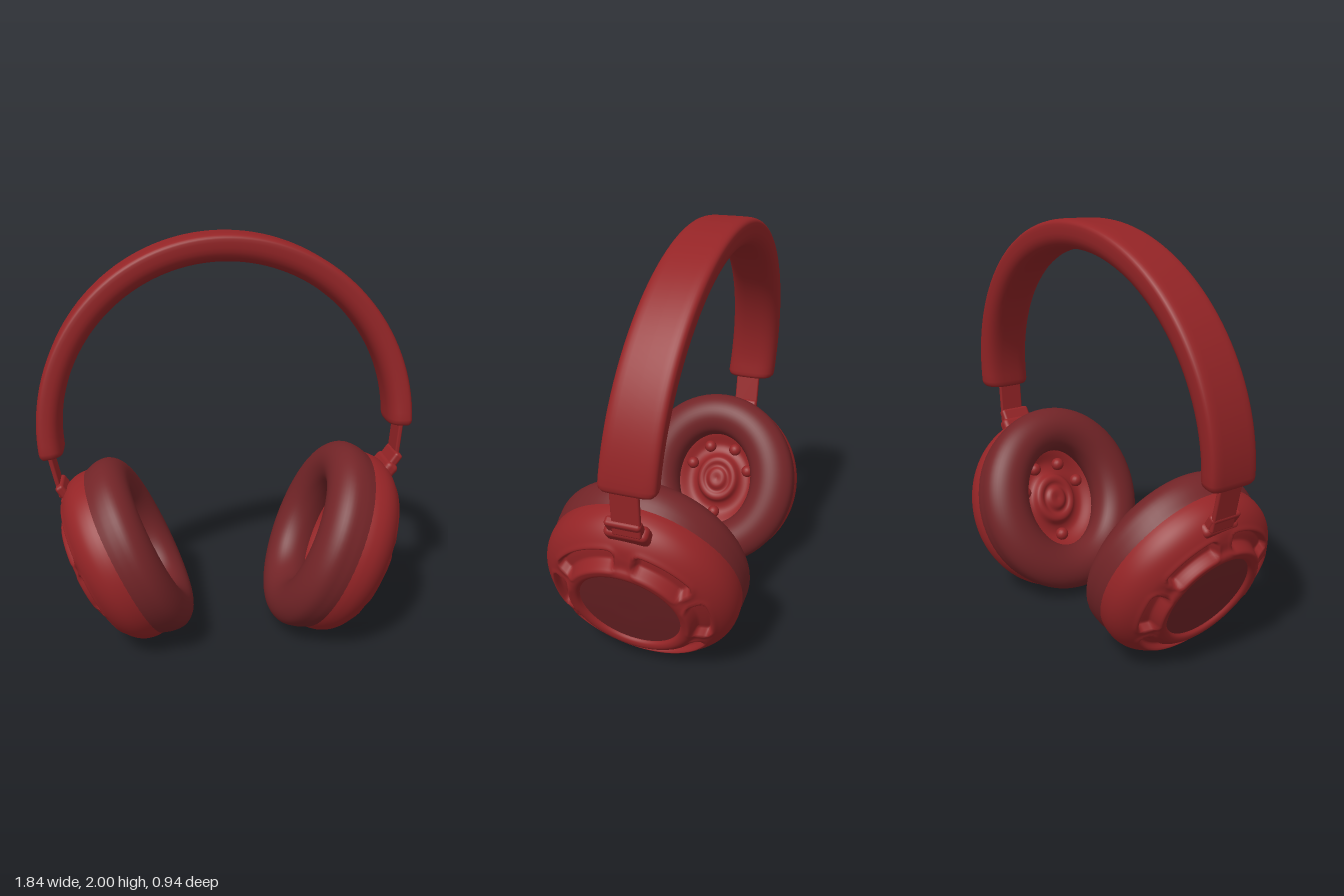
import * as THREE from 'three';
import { mergeVertices } from 'three/addons/utils/BufferGeometryUtils.js';
import { RoundedBoxGeometry } from 'three/addons/geometries/RoundedBoxGeometry.js';

const material = (name, color) => Object.assign(new THREE.MeshStandardMaterial({ color }), { name });
const rad = THREE.MathUtils.degToRad;

function addMesh(parent, name, geometry, mat) {
  const mesh = new THREE.Mesh(geometry, mat);
  mesh.name = name;
  parent.add(mesh);
  return mesh;
}

// Smooth seamless lathe; reshape(v) may move each vertex
function smoothLathe(points, rows, segments, reshape) {
  const curve = new THREE.SplineCurve(points.map(([r, y]) => new THREE.Vector2(r, y)));
  const profile = curve.getSpacedPoints(rows);
  profile.forEach((p) => { p.x = Math.max(p.x, 0); });
  let g = new THREE.LatheGeometry(profile, segments);
  g.deleteAttribute('uv');
  g.deleteAttribute('normal');
  const pos = g.attributes.position;
  const v = new THREE.Vector3();
  for (let i = 0; i < pos.count; i++) {
    v.fromBufferAttribute(pos, i);
    reshape(v);
    pos.setXYZ(i, v.x, v.y, v.z);
  }
  g = mergeVertices(g, 1e-5);
  g.computeVertexNormals();
  return g;
}

// Band swept over the head: flat outside, padded inside, leaning back at the top
function headbandGeometry() {
  const start = rad(-1), end = rad(188), steps = 72, cols = 32;
  const rows = [];
  const caps = [[0, 0], [0, 0.7], [0.006, 0.88], [0.02, 0.97], [0.04, 1]];
  caps.forEach(([d, k]) => rows.push([start + d, k]));
  for (let i = 1; i < steps; i++) rows.push([start + 0.04 + (end - start - 0.08) * i / steps, 1]);
  caps.slice().reverse().forEach(([d, k]) => rows.push([end - d, k]));
  const pos = [], index = [];
  rows.forEach(([t, k], i) => {
    const y0 = 1.08 + 0.9 * Math.sin(t);
    const zc = -0.165 + (2 - y0) * 0.088;
    const half = 0.12 + (2 - y0) * 0.009;
    const inner = 0.078 + 0.018 * Math.max(0, Math.sin(t));
    for (let j = 0; j < cols; j++) {
      const a = j / cols * Math.PI * 2, c = Math.cos(a), s = Math.sin(a);
      const w = Math.sign(c) * Math.abs(c) ** (s > 0 ? 0.35 : 0.6) * half;
      const h = s > 0 ? 0.04 * s ** 0.6 : -inner * Math.abs(s) ** 0.8;
      const r = 0.855 + (0.025 + h) * k;
      pos.push(r * Math.cos(t), 1.08 + r * Math.sin(t), zc + w * k);
      if (i < rows.length - 1) {
        const p = i * cols + j, q = i * cols + (j + 1) % cols;
        index.push(p, q, p + cols, q, q + cols, p + cols);
      }
    }
  });
  const g = new THREE.BufferGeometry();
  g.setAttribute('position', new THREE.Float32BufferAttribute(pos, 3));
  g.setIndex(index);
  g.computeVertexNormals();
  return g;
}

// Recessed slots around the shell: [from angle, to angle, inner radius, outer radius]
const SLOTS = [[2, 58, 0.305, 0.385], [-58, -13, 0.305, 0.385], [70, 108, 0.3, 0.385],
  [-108, -70, 0.3, 0.385], [120, 240, 0.325, 0.385]];

function slotOffset(r, angle) {
  let offset = 0;
  for (const [a0, a1, r0, r1] of SLOTS) {
    const mid = rad((a0 + a1) / 2), corner = 0.028;
    const da = Math.atan2(Math.sin(angle - mid), Math.cos(angle - mid));
    const qx = Math.abs(da) * 0.345 - rad(a1 - a0) / 2 * 0.345 + corner;
    const qy = Math.abs(r - (r0 + r1) / 2) - (r1 - r0) / 2 + corner;
    const d = Math.hypot(Math.max(qx, 0), Math.max(qy, 0)) + Math.min(Math.max(qx, qy), 0) - corner;
    offset -= 0.035 * (1 - THREE.MathUtils.smoothstep(d, -0.016, 0.004));
    offset += 0.005 * Math.exp(-(((d - 0.01) / 0.01) ** 2));
  }
  return offset;
}

// Ear cup: local +y points away from the head, local -x * side points up
function earCup(side, mats) {
  const cup = new THREE.Group();
  cup.name = side > 0 ? 'leftEarCup' : 'rightEarCup';

  addMesh(cup, 'shell', smoothLathe([[0.47, -0.02], [0.475, 0.03], [0.468, 0.08], [0.445, 0.125],
    [0.405, 0.165], [0.36, 0.188], [0.318, 0.203], [0.296, 0.222], [0.275, 0.228], [0.255, 0.222],
    [0.245, 0.208], [0.235, 0.2]], 64, 180, (v) => {
    v.y += slotOffset(Math.hypot(v.x, v.z), Math.atan2(v.z, -side * v.x));
    v.z *= 0.978;
  }), mats.red);

  addMesh(cup, 'outerPlate', smoothLathe([[0.25, 0.208], [0.12, 0.212], [0, 0.212]], 8, 64, () => {}), mats.dark);

  // Cushion is slightly taller than wide, with an oval opening
  addMesh(cup, 'cushion', smoothLathe([[0.3, 0.03], [0.27, -0.03], [0.262, -0.09], [0.285, -0.15],
    [0.34, -0.188], [0.4, -0.193], [0.455, -0.168], [0.49, -0.12], [0.493, -0.06], [0.475, 0]],
  36, 72, (v) => {
    const r = Math.hypot(v.x, v.z);
    v.z *= THREE.MathUtils.mapLinear(r, 0.262, 0.493, 0.84, 0.945);
    if (v.y > -0.06 && r > 0.4) v.z *= THREE.MathUtils.mapLinear(v.y, -0.06, 0, 1, 1.035);
  }), mats.dark);

  // Inner bowl with a raised round driver
  addMesh(cup, 'innerBowl', smoothLathe([[0, -0.035], [0.045, -0.04], [0.075, -0.02], [0.1, -0.03],
    [0.125, -0.025], [0.15, 0.01], [0.2, 0.02], [0.26, -0.01], [0.31, -0.03]],
  36, 48, (v) => { v.z *= 0.9; }), mats.red);
  for (const a of [-70, -25, 25, 70, 180]) {
    const bump = addMesh(cup, 'innerBump', new THREE.SphereGeometry(0.035, 16, 10), mats.red);
    bump.position.set(-side * 0.2 * Math.cos(rad(a)), 0.005, 0.18 * Math.sin(rad(a)));
  }
  return cup;
}

// Rounded bar between two points in the front plane
function bar(parent, name, [x0, y0], [x1, y1], z, width, thick, mat) {
  const length = Math.hypot(x1 - x0, y1 - y0);
  const g = new RoundedBoxGeometry(thick, length, width, 3, thick * 0.35);
  const mesh = addMesh(parent, name, g, mat);
  mesh.position.set((x0 + x1) / 2, (y0 + y1) / 2, z);
  mesh.rotation.z = -Math.atan2(x1 - x0, y1 - y0);
}

export function createModel() {
  const model = new THREE.Group();
  model.name = 'headphones';
  const mats = { red: material('deep red', 0x942426), dark: material('dark red', 0x722427) };

  addMesh(model, 'headband', headbandGeometry(), mats.red);

  // The two sides hang at slightly different heights and angles
  const sides = [
    { side: 1, x: 0.53, y: 0.465, tilt: 22.4, size: 1, joint: [0.855, 0.89], top: [0.872, 1.13] },
    { side: -1, x: -0.515, y: 0.45, tilt: 25, size: 0.955, joint: [-0.825, 0.79], top: [-0.873, 1.0] },
  ];
  for (const { side, x, y, tilt, size, joint, top } of sides) {
    const cup = earCup(side, mats);
    cup.position.set(x, y, 0);
    cup.rotation.z = -side * rad(90 + tilt);
    cup.scale.setScalar(size);
    model.add(cup);

    const [jx, jy] = joint;
    bar(model, 'stem', [jx - side * 0.004, jy - 0.04], top, -0.06, 0.13, 0.022, mats.red);
    bar(model, 'hingeBlock', [jx - side * 0.06, jy - 0.07], [jx + side * 0.008, jy + 0.03], -0.045, 0.165, 0.045, mats.red);
    bar(model, 'hingeRoot', [jx - side * 0.11, jy - 0.13], [jx - side * 0.02, jy - 0.02], -0.045, 0.2, 0.07, mats.red);
  }
  return model;
}
